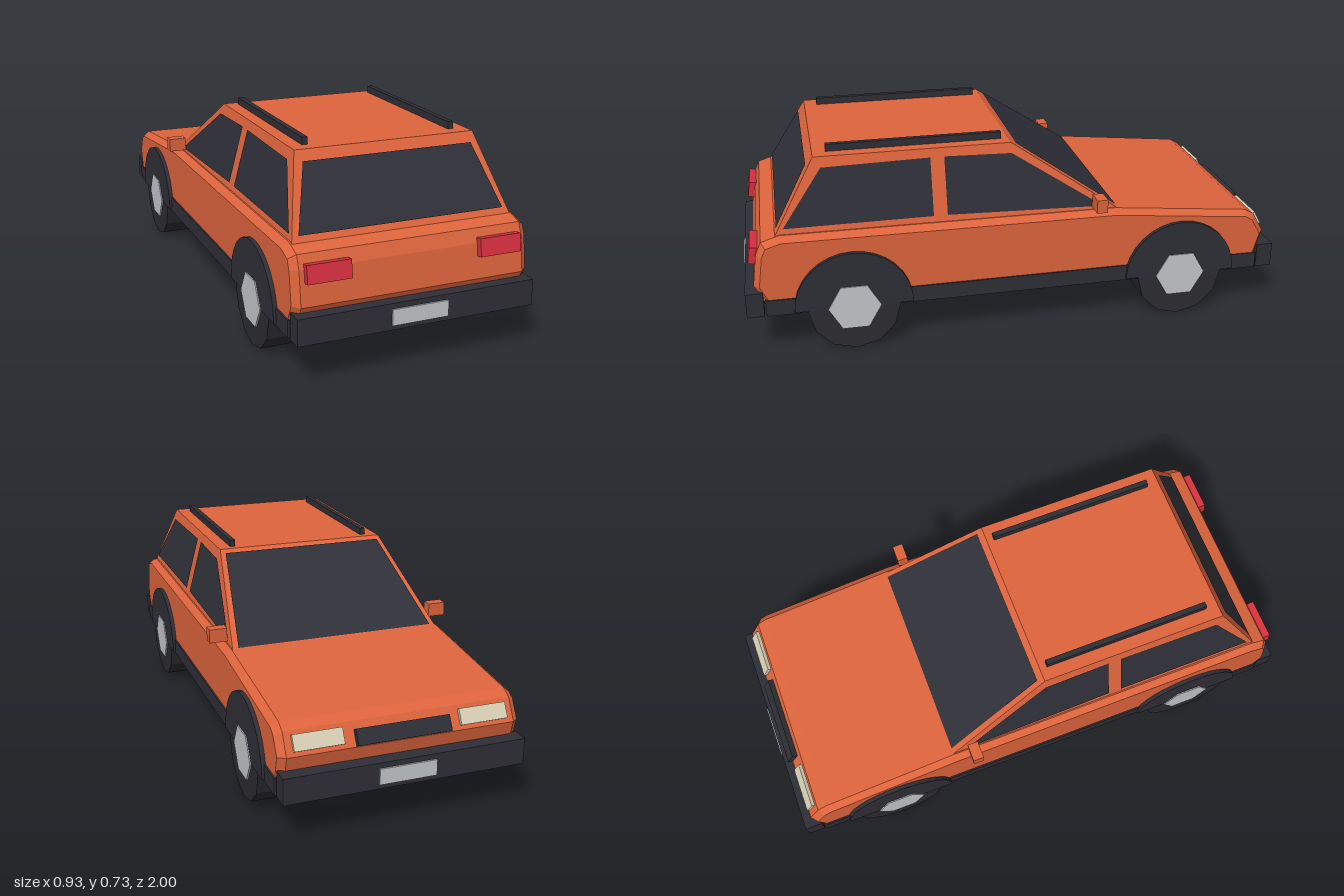
import * as THREE from 'three';

const mat = (name, color) => {
  const m = new THREE.MeshStandardMaterial({ color, flatShading: true });
  m.name = name;
  return m;
};

export function createModel() {
  const paint = mat('orange paint', 0xdd643c);
  const trim = mat('dark trim', 0x2e2e36);
  const glass = mat('dark glass', 0x2f3038);
  glass.side = THREE.DoubleSide;
  const rubber = mat('tyre rubber', 0x2b2b31);
  const silver = mat('silver', 0xc3c6ca);
  const red = mat('red lamp', 0xd8303f);
  const cream = mat('cream lamp', 0xd8cfb4);

  const car = new THREE.Group();
  car.name = 'car';
  const add = (name, geo, material, x = 0, y = 0, z = 0) => {
    const mesh = new THREE.Mesh(geo, material);
    mesh.name = name;
    mesh.position.set(x, y, z);
    car.add(mesh);
    return mesh;
  };
  const box = (name, w, h, d, material, x, y, z) =>
    add(name, new THREE.BoxGeometry(w, h, d), material, x, y, z);

  // Lower body: side profile (z, y) extruded across the car with a chamfer
  const profile = [
    [0.91, 0.165], [0.962, 0.27], [0.945, 0.39], [0.925, 0.435], [0.86, 0.455],
    [-0.36, 0.448], [-0.88, 0.393], [-0.915, 0.373], [-0.957, 0.3], [-0.92, 0.165],
  ].reverse().map(([z, y]) => new THREE.Vector2(z, y));
  const bodyGeo = new THREE.ExtrudeGeometry(new THREE.Shape(profile), {
    depth: 0.8, bevelEnabled: true, bevelThickness: 0.025, bevelSize: 0.02,
    bevelOffset: -0.02, bevelSegments: 1,
  });
  bodyGeo.translate(0, 0, -0.4);
  bodyGeo.rotateY(-Math.PI / 2);
  add('body', bodyGeo, paint);

  // Cabin: a box tapered to the roof
  const cabinGeo = new THREE.BoxGeometry(2, 2, 2);
  const p = cabinGeo.attributes.position;
  for (let i = 0; i < p.count; i++) {
    const top = p.getY(i) > 0, rear = p.getZ(i) > 0;
    p.setXYZ(i, Math.sign(p.getX(i)) * (top ? 0.327 : 0.397), top ? 0.708 : 0.445,
      rear ? (top ? 0.725 : 0.878) : (top ? 0.02 : -0.37));
  }
  cabinGeo.computeVertexNormals();
  add('cabin', cabinGeo, paint);

  // Window panes: flat polygons lying just off the cabin faces
  const pane = (name, pts) => {
    const geo = new THREE.BufferGeometry();
    geo.setAttribute('position', new THREE.Float32BufferAttribute(pts.flat(), 3));
    const index = [];
    for (let i = 1; i < pts.length - 1; i++) index.push(0, i, i + 1);
    geo.setIndex(index);
    geo.computeVertexNormals();
    add(name, geo, glass);
  };
  const rearZ = (y) => 0.884 - (0.153 * (y - 0.445)) / 0.263;
  const frontZ = (y) => -0.378 + (0.39 * (y - 0.445)) / 0.263;
  const sideX = (y) => 0.401 - (0.07 * (y - 0.445)) / 0.263;
  const endPane = (name, zAt, y0, x0, y1, x1) => pane(name, [
    [-x0, y0, zAt(y0)], [x0, y0, zAt(y0)], [x1, y1, zAt(y1)], [-x1, y1, zAt(y1)]]);
  endPane('rearWindow', rearZ, 0.472, 0.37, 0.675, 0.307);
  endPane('windscreen', frontZ, 0.452, 0.375, 0.698, 0.312);
  const sideWindows = {
    rearSideWindow: [[0.845, 0.475], [0.315, 0.475], [0.315, 0.678], [0.7, 0.672]],
    frontSideWindow: [[0.265, 0.475], [-0.295, 0.46], [-0.3, 0.468], [0.02, 0.672], [0.265, 0.678]],
  };

  // Wheel arches are half discs, starting at hub height
  const archGeo = new THREE.CylinderGeometry(0.213, 0.213, 0.08, 16, 1, false, 0, Math.PI);
  archGeo.rotateZ(Math.PI / 2);
  const tyreGeo = new THREE.CylinderGeometry(0.165, 0.165, 0.13, 12);
  tyreGeo.rotateZ(Math.PI / 2);
  const hubGeo = new THREE.CylinderGeometry(0.095, 0.095, 0.142, 6);
  hubGeo.rotateZ(Math.PI / 2);

  for (const s of [-1, 1]) {
    for (const [name, pts] of Object.entries(sideWindows))
      pane(name, pts.map(([z, y]) => [s * sideX(y), y, z]));

    for (const z of [-0.615, 0.615]) {
      add('wheelArch', archGeo, trim, s * 0.4, 0.168, z);
      add('tyre', tyreGeo, rubber, s * 0.373, 0.165, z);
      add('hubcap', hubGeo, silver, s * 0.373, 0.168, z);
    }

    box('roofRail', 0.02, 0.027, 0.63, trim, s * 0.27, 0.72, 0.362);
    box('mirror', 0.065, 0.05, 0.04, paint, s * 0.432, 0.485, -0.29);
    box('tailLight', 0.152, 0.062, 0.03, red, s * 0.307, 0.378, 0.955).rotation.x = -0.16;
    box('headlight', 0.17, 0.055, 0.02, cream, s * 0.29, 0.338, -0.938).rotation.x = 0.51;

    // Bumper and number plate at each end
    box('bumper', 0.85, 0.092, 0.062, trim, 0, 0.204, s * 0.963);
    box('numberPlate', 0.202, 0.056, 0.008, silver, 0, 0.203, s * 0.996);
  }
  box('grille', 0.33, 0.055, 0.03, trim, 0, 0.328, -0.947).rotation.x = 0.51;

  // Sill and underside in one slab
  box('sill', 0.862, 0.06, 1.85, trim, 0, 0.19, 0);
  return car;
}
